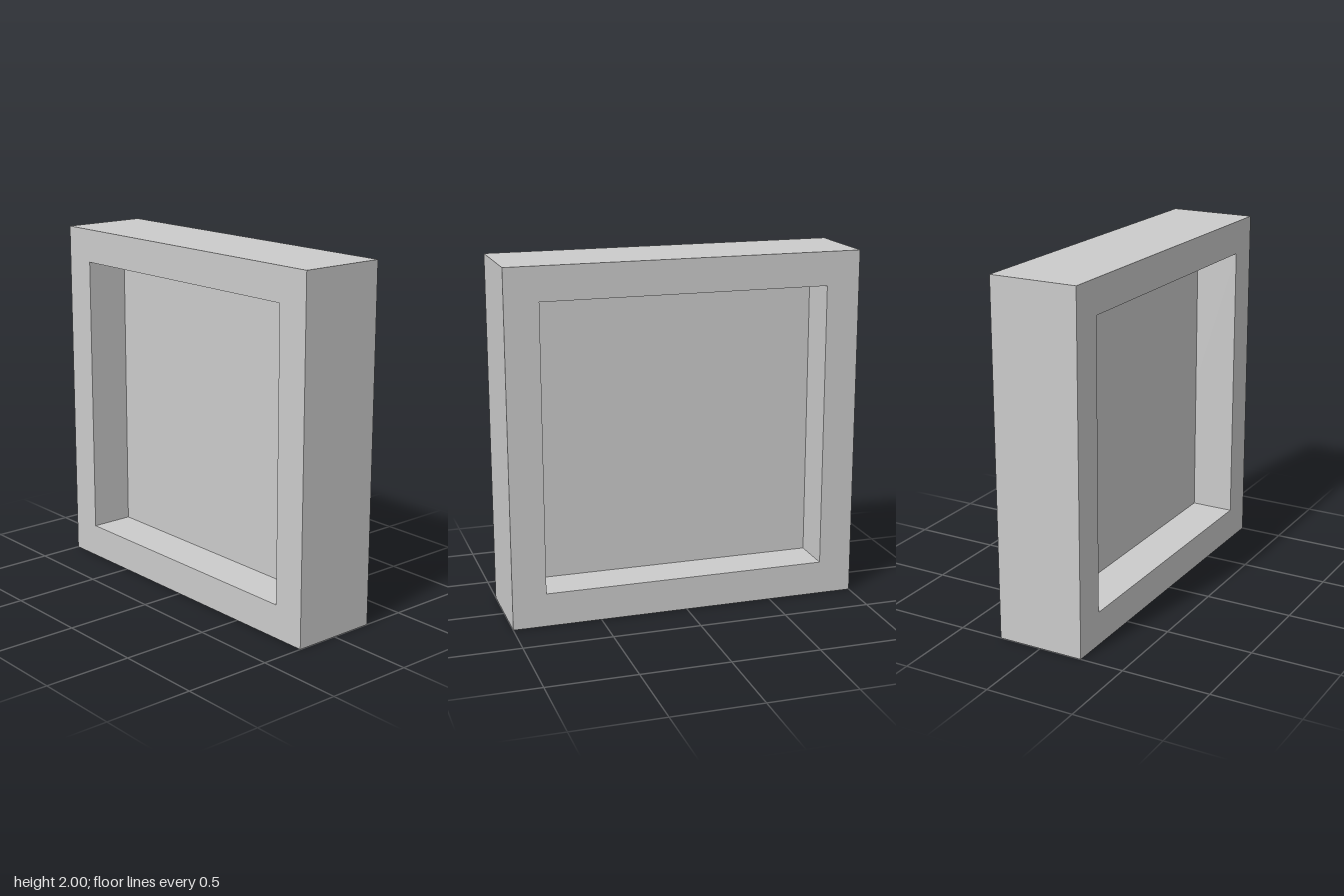
import * as THREE from 'three';

const SIZE = 2, DEPTH = 0.5, OPENING = 1.62;

// Centred square outline traced on a Shape or Path
function square(path, side) {
  const h = side / 2;
  path.moveTo(-h, -h);
  path.lineTo(h, -h);
  path.lineTo(h, h);
  path.lineTo(-h, h);
  path.closePath();
  return path;
}

export function createModel() {
  const model = new THREE.Group();
  model.name = 'recessedPanel';

  // Square frame, open on both broad sides
  const outline = square(new THREE.Shape(), SIZE);
  outline.holes.push(square(new THREE.Path(), OPENING));
  const frameGeometry = new THREE.ExtrudeGeometry(outline, { depth: DEPTH, bevelEnabled: false });
  frameGeometry.translate(0, 0, -DEPTH / 2).rotateY(Math.PI / 2).translate(0, SIZE / 2, 0);
  const frame = new THREE.Mesh(frameGeometry, new THREE.MeshStandardMaterial({ color: 0xcccccc }));
  frame.name = 'frame';

  // Thin sheet across the middle, seen from both sides
  const sheetGeometry = new THREE.PlaneGeometry(OPENING, OPENING);
  sheetGeometry.rotateY(Math.PI / 2).translate(0, SIZE / 2, 0);
  const sheet = new THREE.Mesh(
    sheetGeometry,
    new THREE.MeshStandardMaterial({ color: 0xcccccc, side: THREE.DoubleSide })
  );
  sheet.name = 'centrePanel';

  model.add(frame, sheet);
  return model;
}
